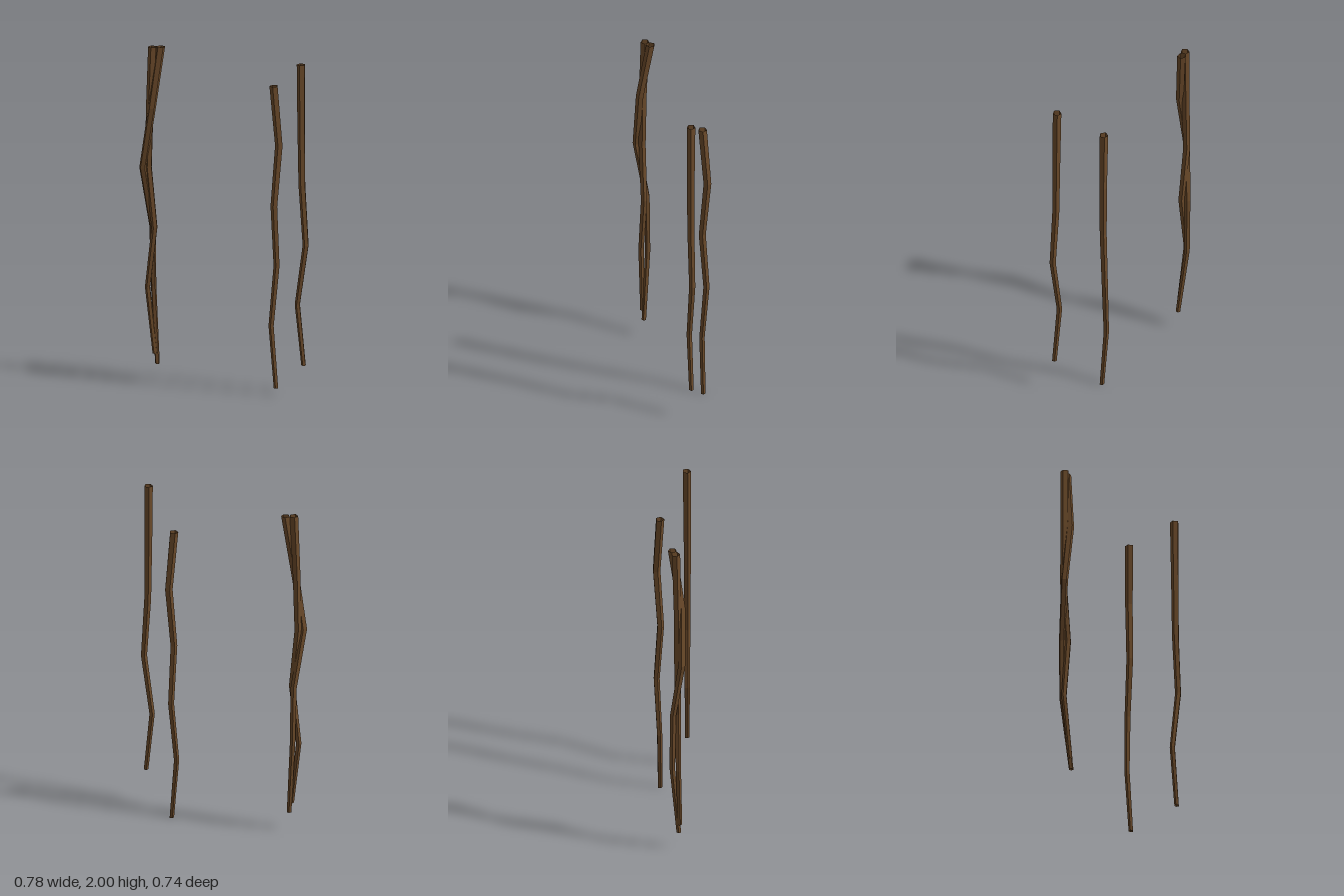
import * as THREE from 'three';

const SIDES = 5;
const TOP_RADIUS = 0.026;
const BOTTOM_RADIUS = 0.014;

// Open, tapering low-poly strand through [x, y, z] knots listed from top to bottom
function strandGeometry(knots, twist) {
  const positions = [];
  const indices = [];
  knots.forEach(([x, y, z], i) => {
    const r = THREE.MathUtils.lerp(TOP_RADIUS, BOTTOM_RADIUS, i / (knots.length - 1));
    for (let s = 0; s < SIDES; s++) {
      const a = twist + (s / SIDES) * Math.PI * 2;
      positions.push(x + r * Math.sin(a), y, z + r * Math.cos(a));
    }
  });
  for (let i = 0; i < knots.length - 1; i++) {
    for (let s = 0; s < SIDES; s++) {
      const next = (s + 1) % SIDES;
      const a = i * SIDES + s, b = i * SIDES + next;
      const c = a + SIDES, d = b + SIDES;
      indices.push(a, c, b, b, c, d);
    }
  }
  const geometry = new THREE.BufferGeometry();
  geometry.setAttribute('position', new THREE.Float32BufferAttribute(positions, 3));
  geometry.setIndex(indices);
  const flat = geometry.toNonIndexed();
  flat.computeVertexNormals();
  return flat;
}

// Hanging strands: two singles and an intertwined pair
const STRANDS = [
  {
    name: 'frontVine', twist: 0.5,
    knots: [[0.35, 2, 0.33], [0.35, 1.64, 0.334], [0.353, 1.28, 0.337],
      [0.37, 0.92, 0.353], [0.332, 0.56, 0.318], [0.36, 0.2, 0.344]],
  },
  {
    name: 'middleVine', twist: 0.6,
    knots: [[0.283, 1.81, 0.066], [0.315, 1.45, 0.067], [0.283, 1.09, 0.07],
      [0.304, 0.73, 0.058], [0.272, 0.37, 0.053], [0.293, 0, 0.076]],
  },
  {
    name: 'straightBackVine', twist: 0.5,
    knots: [[-0.312, 2, -0.338], [-0.327, 1.64, -0.34], [-0.334, 1.28, -0.345],
      [-0.307, 0.92, -0.318], [-0.34, 0.56, -0.343], [-0.31, 0.17, -0.305]],
  },
  {
    name: 'twistingBackVine', twist: 0.2,
    knots: [[-0.267, 2, -0.324], [-0.328, 1.64, -0.308], [-0.371, 1.28, -0.343],
      [-0.307, 0.92, -0.354], [-0.3, 0.56, -0.353], [-0.297, 0.11, -0.3]],
  },
];

export function createModel() {
  const bark = new THREE.MeshStandardMaterial({
    color: 0x6b4a2a, flatShading: true, side: THREE.DoubleSide,
  });
  bark.name = 'brown bark';

  const group = new THREE.Group();
  group.name = 'hangingVines';
  for (const { name, knots, twist } of STRANDS) {
    const vine = new THREE.Mesh(strandGeometry(knots, twist), bark);
    vine.name = name;
    group.add(vine);
  }
  return group;
}
